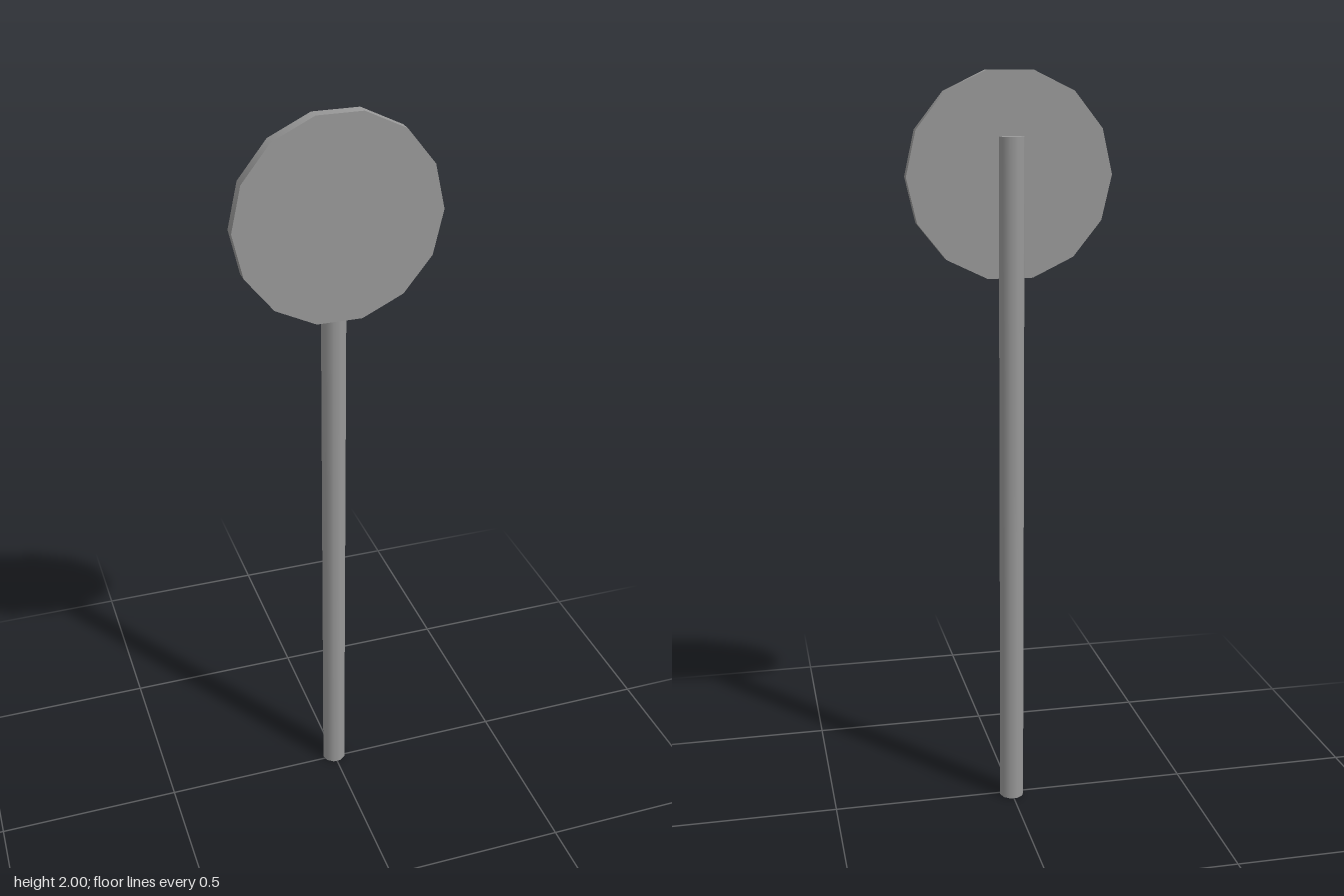
import * as THREE from 'three';

export function createModel() {
  const group = new THREE.Group();
  const material = new THREE.MeshStandardMaterial({ color: 0x999999 });

  // Upright prism with a corner on the +x axis
  const prism = (name, radius, height, sides) => {
    const geometry = new THREE.CylinderGeometry(radius, radius, height, sides, 1, false, Math.PI / 2);
    const mesh = new THREE.Mesh(geometry, material);
    mesh.name = name;
    group.add(mesh);
    return mesh;
  };

  // Ten-sided post standing on the ground
  const postHeight = 1.837;
  prism('post', 0.0335, postHeight, 10).position.set(0, postHeight / 2, -0.0095);

  // Fourteen-sided sign plate facing forward, let into the front of the post
  const plate = prism('signPlate', 0.269, 0.033, 14);
  plate.rotation.x = Math.PI / 2;
  plate.position.set(0, 1.7377, 0.0235);

  return group;
}
